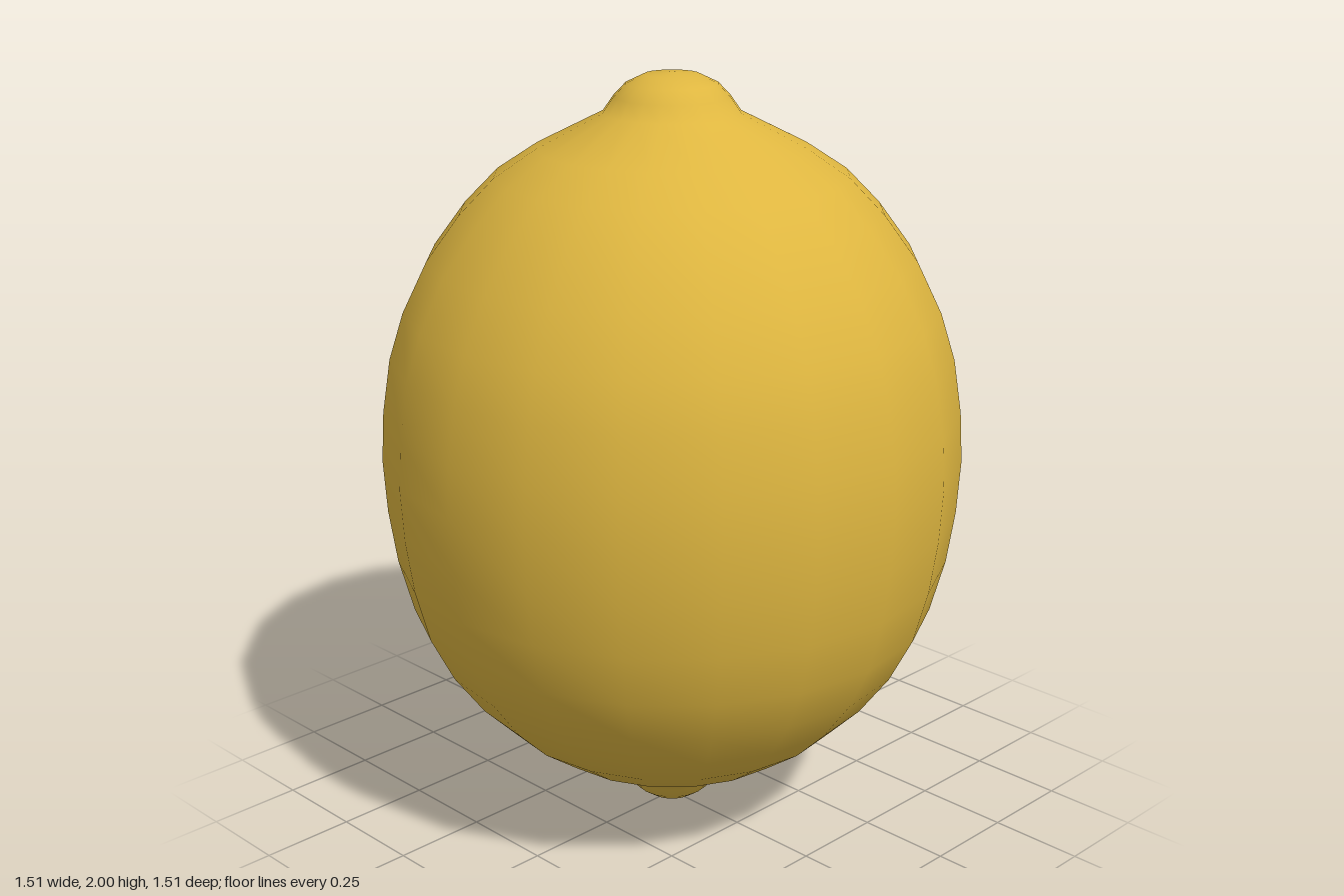
import * as THREE from 'three';

export function createModel() {
  const model = new THREE.Group();
  model.name = 'lemon';

  const peel = new THREE.MeshStandardMaterial({ color: 0xdeb640 });
  peel.name = 'lemon yellow';

  // Half outline from the bottom nub, round the belly, to the stem nub
  const outline = [
    [0, 0], [0.065, 0.01], [0.1, 0.035], [0.13, 0.07], [0.16, 0.11],
    [0.35, 0.2], [0.46, 0.28], [0.55, 0.37], [0.63, 0.48], [0.69, 0.6],
    [0.727, 0.74], [0.747, 0.88], [0.755, 1.02], [0.747, 1.15], [0.725, 1.29],
    [0.687, 1.41], [0.623, 1.54], [0.538, 1.655], [0.45, 1.745], [0.344, 1.815],
    [0.175, 1.9], [0.147, 1.94], [0.116, 1.972], [0.07, 1.994], [0, 2],
  ].map(([r, y]) => new THREE.Vector2(r, y));

  // One smooth skin with twenty sides
  const fruit = new THREE.Mesh(new THREE.LatheGeometry(outline, 20), peel);
  fruit.name = 'fruit';
  model.add(fruit);

  return model;
}
